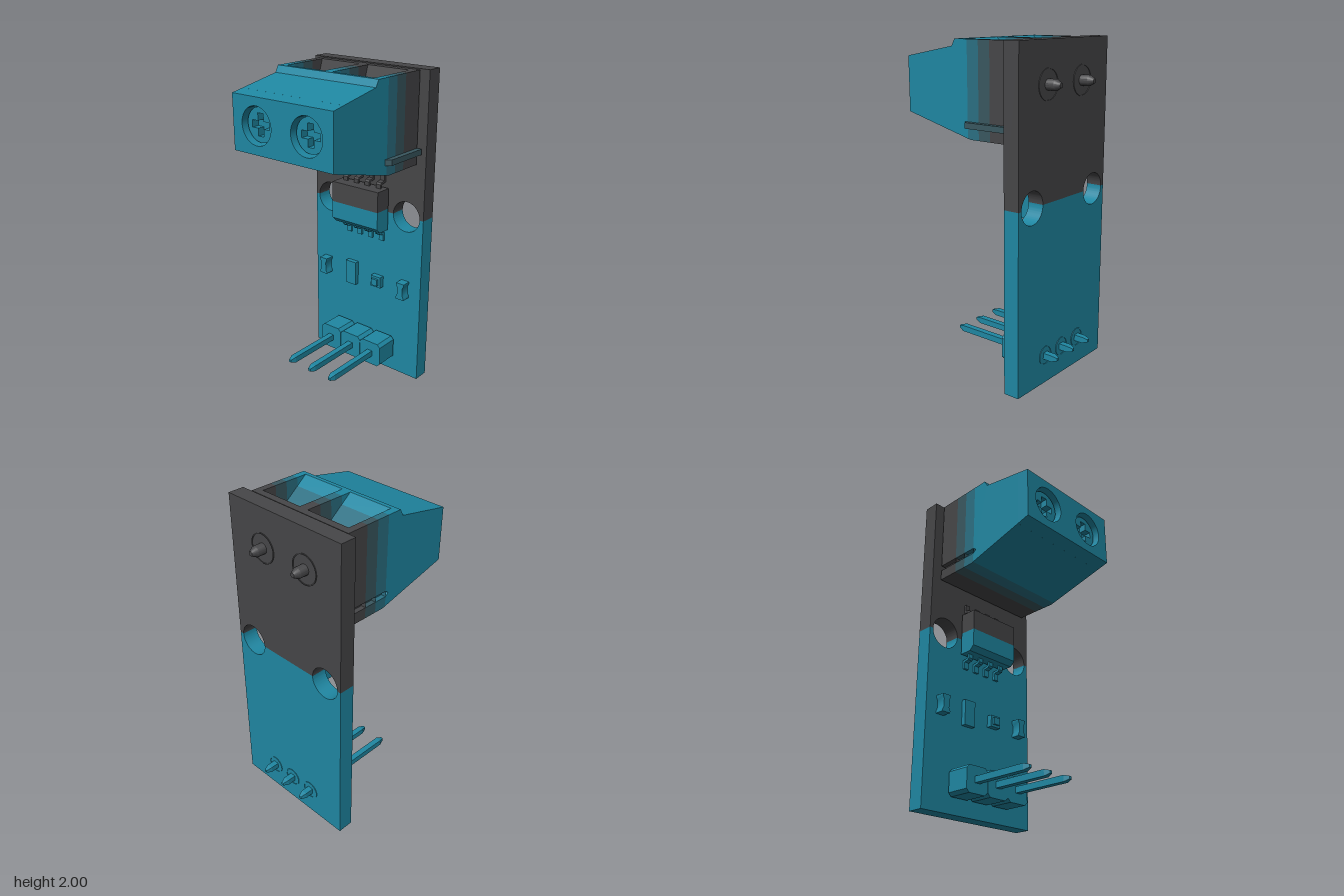
import * as THREE from 'three';
import { toCreasedNormals } from 'three/addons/utils/BufferGeometryUtils.js';

const mat = (color) => new THREE.MeshStandardMaterial({ color });
const teal = mat(0x1f87a2), dark = mat(0x464648);
const mid1 = mat(0x39575f), mid2 = mat(0x2b6f82);
const FRONT = -0.285, BACK = -0.385; // faces of the circuit board

export function createModel() {
  const model = new THREE.Group();

  const add = (name, geo, material, x = 0, y = 0, z = 0, parent = model) => {
    const mesh = new THREE.Mesh(geo, material);
    mesh.name = name;
    mesh.position.set(x, y, z);
    parent.add(mesh);
    return mesh;
  };
  const group = (name) => {
    const g = new THREE.Group();
    g.name = name;
    model.add(g);
    return g;
  };
  const toShape = (pts) => new THREE.Shape(pts.map((p) => new THREE.Vector2(p[0], p[1])));
  const extrude = (shape, depth) => toCreasedNormals(
    new THREE.ExtrudeGeometry(shape, { depth, bevelEnabled: false, curveSegments: 24 }), 0.6);
  // profile given as [z, y], spanning x0..x1
  const acrossX = (pts, x0, x1) => extrude(toShape(pts), x1 - x0).rotateY(-Math.PI / 2).translate(x1, 0, 0);
  // keep the part of a profile where sign * (p[axis] - limit) >= 0
  const clip = (pts, axis, limit, sign) => {
    const out = [];
    pts.forEach((a, i) => {
      const b = pts[(i + 1) % pts.length];
      const da = sign * (a[axis] - limit), db = sign * (b[axis] - limit);
      if (da >= 0) out.push(a);
      if (da * db < 0) {
        const t = da / (da - db);
        out.push([a[0] + (b[0] - a[0]) * t, a[1] + (b[1] - a[1]) * t]);
      }
    });
    return out;
  };
  const box = (w, h, d) => new THREE.BoxGeometry(w, h, d);

  // Circuit board: two halves meeting on the centre line of the mounting holes
  const boardHalf = (edge, lower) => {
    const s = new THREE.Shape();
    s.moveTo(-0.424, edge).lineTo(-0.424, 1.1);
    for (const x of [-0.302, 0.298]) {
      s.lineTo(x - 0.097, 1.1);
      s.absarc(x, 1.1, 0.097, Math.PI, lower ? Math.PI * 2 : 0, !lower);
    }
    s.lineTo(0.422, 1.1).lineTo(0.422, edge);
    return extrude(s, FRONT - BACK);
  };
  add('boardLower', boardHalf(0, true), teal, 0, 0, BACK);
  add('boardUpper', boardHalf(2, false), dark, 0, 0, BACK);

  // Terminal block: side walls, divider and two wedge-shaped wire pockets
  const block = group('terminalBlock');
  const lowerEdge = [[-0.275, 1.445], [0, 1.445], [0.476, 1.565], [0.476, 1.89], [0.132, 1.955], [0.11, 1.995]];
  const solid = [...lowerEdge, [-0.275, 1.995]];
  const pocket = [...lowerEdge, [0.085, 1.995], [-0.165, 1.8], [-0.23, 1.995], [-0.275, 1.995]];
  const grooved = [...solid, [-0.275, 1.545], [0.02, 1.545], [0.04, 1.528], [0.02, 1.511], [-0.275, 1.511]];
  const faceBack = 0.396;
  const bands = [[-0.275, -0.14, dark], [-0.14, -0.06, mid1], [-0.06, 0.02, mid2], [0.02, faceBack, teal]];
  const slices = [
    ['blockSideWall', grooved, -0.365, -0.335], ['blockSideWall', solid, -0.335, -0.32],
    ['wirePocket', pocket, -0.32, -0.03], ['blockDivider', solid, -0.03, 0.03],
    ['wirePocket', pocket, 0.03, 0.32], ['blockSideWall', solid, 0.32, 0.363],
  ];
  for (const [name, profile, x0, x1] of slices) {
    for (const [z0, z1, material] of bands) {
      const part = clip(clip(profile, 0, z0, 1), 0, z1, -1);
      add(name, acrossX(part, x0, x1), material, 0, 0, 0, block);
    }
  }

  // Front plate with screw holes, flared backwards to follow the block's slopes
  const plate = toShape([[-0.365, 1.565], [0.363, 1.565], [0.363, 1.89], [-0.365, 1.89]]);
  const screwX = [-0.185, 0.18];
  for (const x of screwX) plate.holes.push(new THREE.Path().absarc(x, 1.73, 0.111, 0, Math.PI * 2, true));
  const plateGeo = new THREE.ExtrudeGeometry(plate, { depth: 0.08, bevelEnabled: false, curveSegments: 32 });
  const pos = plateGeo.attributes.position;
  for (let i = 0; i < pos.count; i++) {
    if (pos.getZ(i) > 0.01) continue;
    if (pos.getY(i) > 1.889) pos.setY(i, 1.905);
    if (pos.getY(i) < 1.566) pos.setY(i, 1.545);
  }
  plateGeo.computeVertexNormals();
  add('blockFrontPlate', toCreasedNormals(plateGeo, 0.6), teal, 0, 0, faceBack, block);

  // Screw heads with a cross slot
  for (const x of screwX) {
    const head = new THREE.Shape().absarc(0, 0, 0.1, 0, Math.PI * 2, false);
    const a = 0.065, b = 0.021;
    head.holes.push(new THREE.Path([
      [b, b], [b, a], [-b, a], [-b, b], [-a, b], [-a, -b], [-b, -b], [-b, -a], [b, -a], [b, -b], [a, -b], [a, b],
    ].map((p) => new THREE.Vector2(...p))));
    add('screwHead', extrude(head, 0.045), teal, x, 1.73, faceBack, block);
  }

  // Interlocking rib on the left side
  const rib = extrude(toShape([[0.36, 0.04], [0.36, -0.275], [0.395, -0.275], [0.395, 0.015]].map(([x, z]) => [x, -z])), 0.034)
    .rotateX(-Math.PI / 2);
  add('sideRib', rib, mid1, 0, 1.511, 0, block);

  // Terminal pins through the board
  const pinProfile = [[0, -0.47], [0.014, -0.47], [0.032, -0.437], [0.032, -0.27]].map((p) => new THREE.Vector2(...p));
  for (const x of [-0.163, 0.162]) {
    const pin = new THREE.LatheGeometry(pinProfile, 20).rotateX(Math.PI / 2);
    add('terminalPin', toCreasedNormals(pin, 0.5), dark, x, 1.76, 0);
  }

  // Three-pin header: chamfered housings and square pins with tapered ends
  const header = group('pinHeader');
  const h = 0.08, c = 0.02;
  for (const x of [-0.163, 0, 0.162]) {
    const cell = toShape([[-h + c, -h], [h - c, -h], [h, -h + c], [h, h - c], [h - c, h], [-h + c, h], [-h, h - c], [-h, -h + c]]);
    add('headerHousing', extrude(cell, 0.15), teal, x, 0.175, -0.27, header);
    add('headerPin', box(0.038, 0.038, 0.69), teal, x, 0.175, -0.095, header);
    for (const s of [1, -1]) {
      const tip = new THREE.CylinderGeometry(0.012, 0.027, 0.036, 4).rotateY(Math.PI / 4).rotateX(s * Math.PI / 2);
      add('headerPinTip', tip.toNonIndexed(), teal, x, 0.175, -0.095 + s * 0.363, header).geometry.computeVertexNormals();
    }
  }

  // Thin printed rings round the pins on the back
  const ring = (x, y, r, material) => add('pinRing',
    extrude(Object.assign(new THREE.Shape().absarc(0, 0, r, 0, Math.PI * 2, false),
      { holes: [new THREE.Path().absarc(0, 0, r - 0.006, 0, Math.PI * 2, true)] }), 0.004), material, x, y, BACK - 0.004);
  for (const x of [-0.163, 0.162]) ring(x, 1.76, 0.09, dark);
  for (const x of [-0.163, 0, 0.162]) ring(x, 0.175, 0.058, teal);

  // Sensor chip with a bevelled lower edge and eight bent leads
  const chip = group('sensorChip');
  const chipProfile = [[-0.27, 0.99], [-0.19, 0.99], [-0.16, 1.02], [-0.16, 1.26], [-0.27, 1.26]];
  add('chipLower', acrossX(clip(chipProfile, 1, 1.13, -1), -0.182, 0.172), teal, 0, 0, 0, chip);
  add('chipUpper', acrossX(clip(chipProfile, 1, 1.13, 1), -0.182, 0.172), dark, 0, 0, 0, chip);
  const lead = [[-0.23, 0], [-0.23, 0.025], [-0.238, 0.036], [-0.27, 0.042], [-0.27, 0.085], [FRONT, 0.085],
    [FRONT, 0.03], [-0.25, 0.024], [-0.243, 0.018], [-0.243, 0]];
  for (const x of [-0.135, -0.05, 0.035, 0.122]) {
    const top = lead.map(([z, y]) => [z, 1.26 + y]);
    const bottom = lead.map(([z, y]) => [z, 0.99 - y]);
    add('chipLead', acrossX(top, x - 0.017, x + 0.017), dark, 0, 0, 0, chip);
    add('chipLead', acrossX(bottom, x - 0.017, x + 0.017), teal, 0, 0, 0, chip);
  }

  // Small surface parts: waisted capacitors, resistor and indicator light
  const w = 0.029, n = 0.02, t = 0.055;
  const waisted = toShape([[-w, -t], [w, -t], [w, -t + 0.012], [n, -0.025], [n, 0.025], [w, t - 0.012], [w, t],
    [-w, t], [-w, t - 0.012], [-n, 0.025], [-n, -0.025], [-w, -t + 0.012]]);
  for (const x of [-0.32, 0.308]) add('capacitor', extrude(waisted, 0.06), teal, x, 0.62, FRONT);
  add('resistor', box(0.08, 0.16, 0.03), teal, -0.108, 0.62, FRONT + 0.015);
  add('indicatorBase', box(0.074, 0.074, 0.035), teal, 0.1, 0.617, FRONT + 0.0175);
  add('indicatorLens', box(0.044, 0.044, 0.015), teal, 0.1, 0.617, FRONT + 0.0425);
  return model;
}
